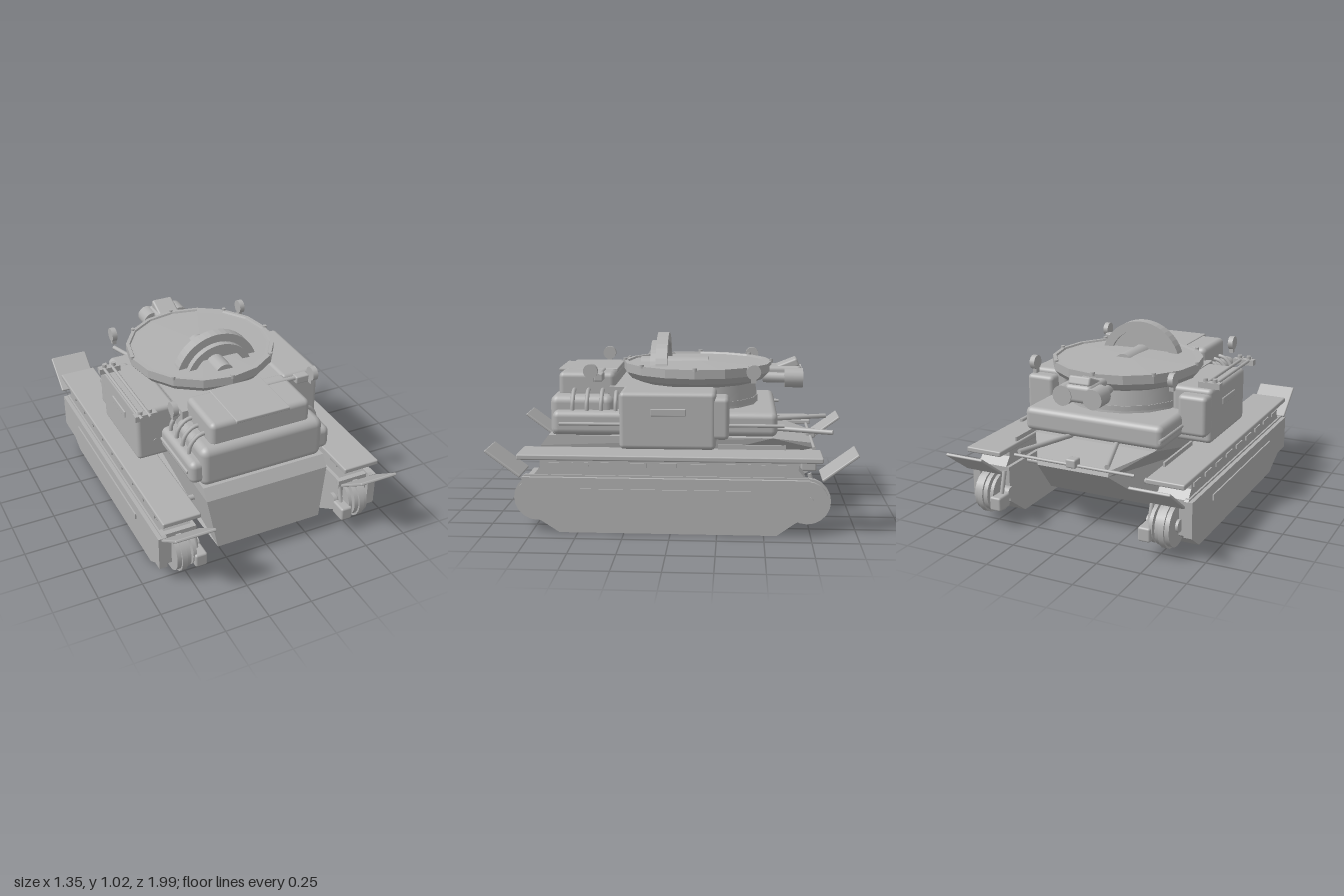
import * as THREE from 'three';
import { RoundedBoxGeometry } from 'three/addons/geometries/RoundedBoxGeometry.js';

export function createModel() {
  const root = new THREE.Group();
  const grey = new THREE.MeshStandardMaterial({ color: 0xb0b0b0 });
  grey.name = 'plain grey';

  const add = (name, geo, parent = root) => {
    const m = new THREE.Mesh(geo, grey);
    m.name = name;
    parent.add(m);
    return m;
  };
  // Boxes are given by their extents: [min, max] on each axis
  const span = (geo, x, y, z) => geo.translate((x[0] + x[1]) / 2, (y[0] + y[1]) / 2, (z[0] + z[1]) / 2);
  const box = (x, y, z) => span(new THREE.BoxGeometry(x[1] - x[0], y[1] - y[0], z[1] - z[0]), x, y, z);
  const rbox = (x, y, z, r) => span(new RoundedBoxGeometry(x[1] - x[0], y[1] - y[0], z[1] - z[0], 3, r), x, y, z);
  // Side profile of [z, y] points, extruded from x0 to x1
  const profile = (pts, x0, x1) => {
    const s = new THREE.Shape(pts.map(p => new THREE.Vector2(p[0], p[1])));
    return new THREE.ExtrudeGeometry(s, { depth: x1 - x0, bevelEnabled: false }).rotateY(-Math.PI / 2).translate(x1, 0, 0);
  };
  const rod = (a, b, r, sides = 10) => {
    const p = new THREE.Vector3(...a), q = new THREE.Vector3(...b), d = q.clone().sub(p);
    const g = new THREE.CylinderGeometry(r, r, d.length(), sides);
    g.applyQuaternion(new THREE.Quaternion().setFromUnitVectors(new THREE.Vector3(0, 1, 0), d.normalize()));
    return g.translate((p.x + q.x) / 2, (p.y + q.y) / 2, (p.z + q.z) / 2);
  };

  // Hull, narrowing towards the keel and the tail
  const hull = profile([[0.70, 0.48], [0.745, 0.42], [0.775, 0.12], [-0.45, 0.12], [-0.79, 0.39], [-0.78, 0.42],
    [-0.55, 0.475]], -0.365, 0.365);
  const hp = hull.attributes.position;
  for (let i = 0; i < hp.count; i++) {
    const y = hp.getY(i), z = hp.getZ(i);
    let k = y < 0.2 ? (z > 0.7 ? 0.86 : 0.92) : 1;
    if (z < -0.7) k = 0.58;
    hp.setX(i, hp.getX(i) * k);
  }
  hull.computeVertexNormals();
  add('hull', hull);
  add('rearBar', rod([-0.36, 0.42, -0.78], [0.36, 0.42, -0.78], 0.009));
  add('rearHook', rbox([-0.03, 0.40, 0.43].slice(0, 1).concat(0.03), [0.41, 0.46], [-0.81, -0.75], 0.01));

  // Deck and front housings
  add('deck', rbox([-0.42, 0.42], [0.49, 0.625], [-0.575, 0.67], 0.035));
  add('frontHousing', rbox([-0.365, 0.365], [0.465, 0.705], [0.33, 0.69], 0.045));
  add('upperHousing', rbox([-0.295, 0.295], [0.68, 0.825], [0.33, 0.65], 0.03));
  add('housingLid', rbox([-0.16, 0.16], [0.81, 0.83], [0.33, 0.67], 0.006));
  add('housingShoulder', box([-0.33, 0.33], [0.60, 0.75], [0.0, 0.36]));

  // Turret, a wide sixteen-sided lid on a narrower ring
  const turret = new THREE.Group();
  turret.name = 'turret';
  turret.position.z = -0.12;
  root.add(turret);
  add('turretRing', new THREE.CylinderGeometry(0.33, 0.36, 0.2, 16).translate(0, 0.67, 0), turret);
  add('turretBase', new THREE.CylinderGeometry(0.35, 0.35, 0.05, 16).translate(0, 0.64, 0), turret);
  const lid = [[0, 0.75], [0.34, 0.75], [0.40, 0.775], [0.43, 0.81], [0.43, 0.86], [0.41, 0.86], [0.405, 0.85],
    [0.39, 0.85], [0, 0.865]].map(p => new THREE.Vector2(...p));
  const lidGeo = new THREE.LatheGeometry(lid, 16).toNonIndexed();
  lidGeo.computeVertexNormals();
  add('turretLid', lidGeo, turret);
  for (let i = 0; i < 8; i++) {
    const a = i * Math.PI / 4;
    add('lidBolt', new THREE.CylinderGeometry(0.012, 0.012, 0.02, 8)
      .translate(0.425 * Math.sin(a), 0.86, 0.425 * Math.cos(a)), turret);
  }

  // Half-sunk wheel with a stepped rim standing on the lid
  const ring = (R, r, z0, z1) => {
    const s = new THREE.Shape().absarc(0, 0, R, 0, Math.PI, false);
    s.absarc(0, 0, r, Math.PI, 0, true);
    return new THREE.ExtrudeGeometry(s, { depth: z1 - z0, bevelEnabled: false, curveSegments: 12 }).translate(0, 0.77, z0);
  };
  add('wheelRim', ring(0.252, 0.20, 0.045, 0.11));
  add('wheelStep', ring(0.205, 0.165, 0.09, 0.145));
  add('wheelWeb', ring(0.21, 0.01, 0.065, 0.08));
  add('wheelAxle', rod([0, 0.825, -0.18], [0, 0.825, 0.21], 0.057, 16));

  // Rear sight with two drums and a tilted hood
  add('sightBody', rbox([-0.08, 0.08], [0.74, 0.84], [-0.72, -0.5], 0.025));
  const hood = add('sightHood', new RoundedBoxGeometry(0.13, 0.05, 0.17, 2, 0.012));
  hood.position.set(0, 0.83, -0.62);
  hood.rotation.x = 0.38;
  for (const s of [-1, 1]) {
    add('sightDrum', rod([s * 0.09, 0.775, -0.62], [s * 0.09, 0.775, -0.725], 0.056, 16));
    add('drumArm', rod([s * 0.07, 0.775, -0.5], [s * 0.09, 0.775, -0.63], 0.03));
  }

  // Rack on the right and short bar on the left
  for (const x of [-0.57, -0.52]) add('rackRod', rod([x, 0.785, -0.22], [x, 0.785, 0.38], 0.009));
  for (const z of [-0.2, 0.34]) {
    add('rackBracket', box([-0.60, -0.475], [0.757, 0.79], [z - 0.02, z + 0.02]));
    for (const x of [-0.565, -0.51]) add('rackKnob', rod([x, 0.78, z], [x, 0.81, z], 0.013));
  }
  add('rackPost', rod([-0.5, 0.72, -0.2], [-0.5, 0.78, -0.2], 0.012));
  add('sideBar', rod([0.15, 0.82, 0.41], [0.41, 0.82, 0.41], 0.013));
  add('barBlock', rbox([0.33, 0.41], [0.79, 0.835], [0.385, 0.435], 0.008));

  // Everything that is the same on both sides
  for (const s of [-1, 1]) {
    const mx = (a, b) => (s > 0 ? [a, b] : [-b, -a]);
    const side = new THREE.Group();
    side.name = s > 0 ? 'leftSide' : 'rightSide';
    root.add(side);
    const put = (n, g) => add(n, g, side);
    const slab = (n, pts, a, b) => put(n, profile(pts, ...mx(a, b)));

    // Side boxes
    put('sideBox', rbox(mx(0.33, 0.565), [0.445, 0.757], [-0.24, 0.28], 0.025));
    put('sideBoxPlate', rbox(mx(0.56, 0.572), [0.63, 0.67], [-0.08, 0.11], 0.005));
    put('rearSideBox', rbox(mx(0.39, 0.56), [0.50, 0.73], [-0.31, -0.16], 0.025));
    put('deckRail', rod([s * 0.42, 0.555, -0.61], [s * 0.42, 0.555, 0.63], 0.01));
    put('rearRod', rod([s * 0.14, 0.49, -0.54], [s * 0.26, 0.49, -0.89], 0.014));
    put('boxRivet', rod([s * 0.46, 0.555, 0.27], [s * 0.46, 0.555, 0.285], 0.01));

    // Bent pipes beside the upper housing
    for (const z of [0.56, 0.48, 0.40, 0.32]) {
      const path = new THREE.CatmullRomCurve3([[0.27, 0.73], [0.33, 0.72], [0.375, 0.67], [0.385, 0.60]]
        .map(p => new THREE.Vector3(s * p[0], p[1], z)));
      put('pipe', new THREE.TubeGeometry(path, 10, 0.012, 8));
    }

    // Round lamps
    for (const z of [0.45, -0.44]) {
      put('lamp', rod([s * 0.405, 0.85, z], [s * 0.435, 0.85, z], 0.04, 14));
      put('lampFoot', box(mx(0.405, 0.43), [0.79, 0.83], [z - 0.015, z + 0.015]));
    }

    // Track pod: lower body, outer skirt, upper body
    slab('trackBody', [[0.77, 0.31], [0.77, 0.11], [0.6, 0], [-0.57, 0], [-0.72, 0.11], [-0.72, 0.31]], 0.44, 0.64);
    slab('trackSkirt', [[0.795, 0.31], [0.78, 0.32], [-0.73, 0.32], [-0.74, 0.31], [-0.74, 0.11], [-0.56, 0.015],
      [0.59, 0.015], [0.795, 0.11]], 0.62, 0.645);
    slab('skirtPanel', [[0.795, 0.31], [0.795, 0.11], [-0.74, 0.11], [-0.74, 0.31]], 0.64, 0.667);
    slab('trackTop', [[0.74, 0.31], [0.70, 0.36], [0.70, 0.41], [-0.68, 0.41], [-0.68, 0.36], [-0.72, 0.31]], 0.46, 0.635);
    put('skirtRail', box(mx(0.66, 0.675), [0.218, 0.252], [-0.46, 0.48]));
    for (let i = 0; i < 9; i++) {
      const z = 0.64 - i * 0.157;
      put('slotPlate', box(mx(0.62, 0.643), [0.365, 0.388], [z - 0.045, z + 0.045]));
    }

    // Fender with upturned flaps
    put('fender', rbox(mx(0.435, 0.652), [0.40, 0.43], [-0.81, 0.825], 0.008));
    put('fenderStrip', box(mx(0.448, 0.46), [0.425, 0.455], [-0.62, -0.25]));
    for (const e of [1, -1]) {
      const flap = put('flap', new RoundedBoxGeometry(0.228, 0.016, 0.235, 2, 0.006));
      flap.position.set(s * 0.542, 0.378, e * 0.9);
      flap.rotation.x = -e * 0.64;

      // End wheel, its flanges, axle, and inner arm
      const c = e * 0.735, wheel = (n, a, b, r) => put(n, rod([s * a, 0.17, c], [s * b, 0.17, c], r, 20));
      wheel('wheel', 0.505, 0.585, 0.115);
      wheel('wheelFlange', 0.53, 0.56, 0.127);
      wheel('innerFlange', 0.47, 0.49, 0.11);
      wheel('wheelHub', 0.42, 0.60, 0.035);
      put('wheelArm', rbox(mx(0.415, 0.485), [0.10, 0.18], [Math.min(e * 0.76, e * 0.86), Math.max(e * 0.76, e * 0.86)], 0.012));
      put('armPost', rod([s * 0.45, 0.17, e * 0.79], [s * 0.45, 0.3, e * 0.75], 0.012));
      put('hullStrut', rod([s * 0.3, 0.29, e * 0.52], [s * 0.47, 0.29, e * 0.52], 0.016));
    }
  }
  return root;
}
